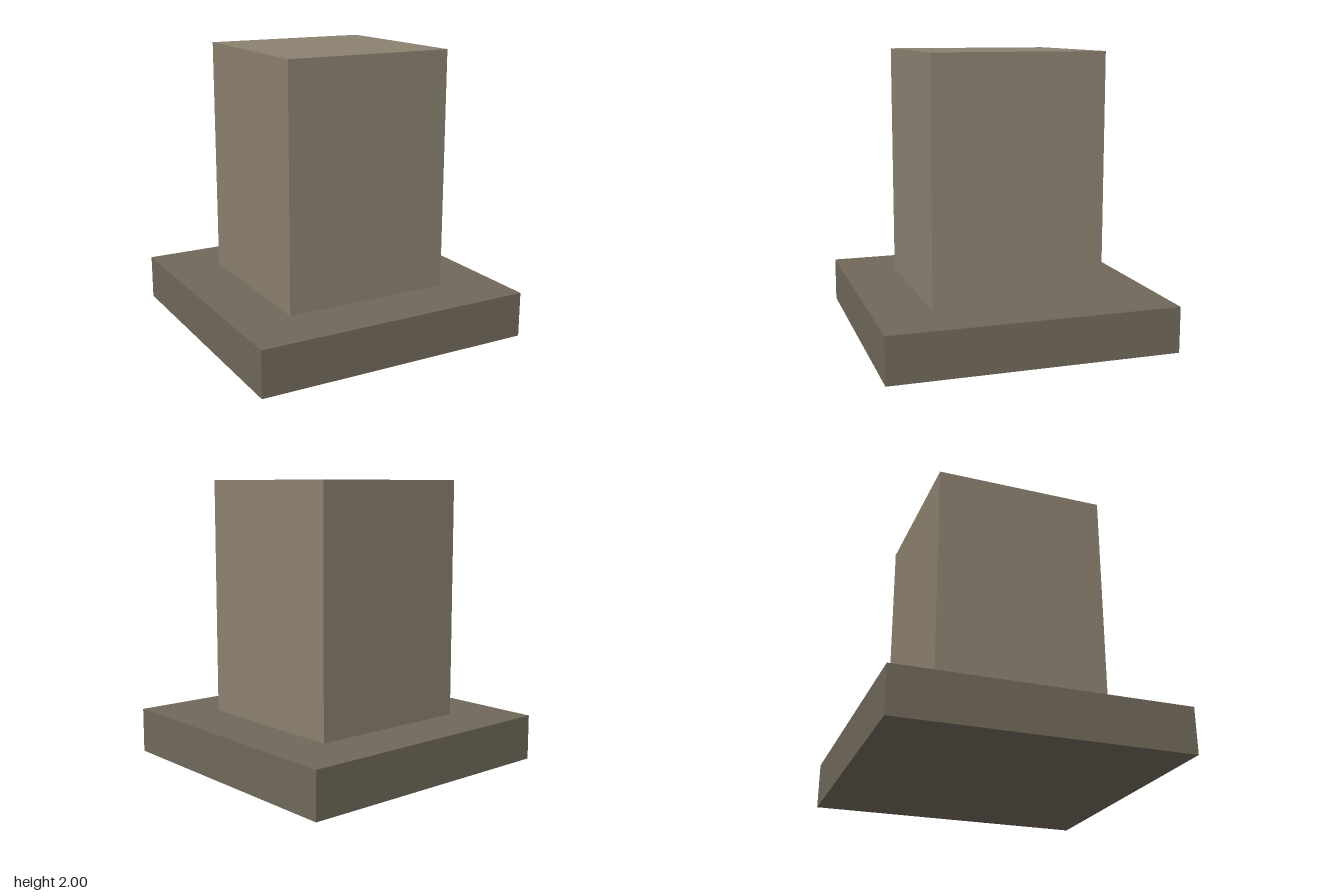
import * as THREE from 'three';

// Square block standing between two heights
function block(name, width, bottom, top, color) {
  const mesh = new THREE.Mesh(
    new THREE.BoxGeometry(width, top - bottom, width),
    new THREE.MeshStandardMaterial({ color })
  );
  mesh.position.y = (bottom + top) / 2;
  mesh.name = name;
  return mesh;
}

export function createModel() {
  const model = new THREE.Group();
  model.name = 'pedestal';

  // Wide plinth at the foot
  model.add(block('base', 2, 0, 0.32, 0x70685a));

  // Pillar, sunk into the base and stopping just short of its underside
  model.add(block('pillar', 1.2, 0.01, 2, 0x8b8170));

  return model;
}
